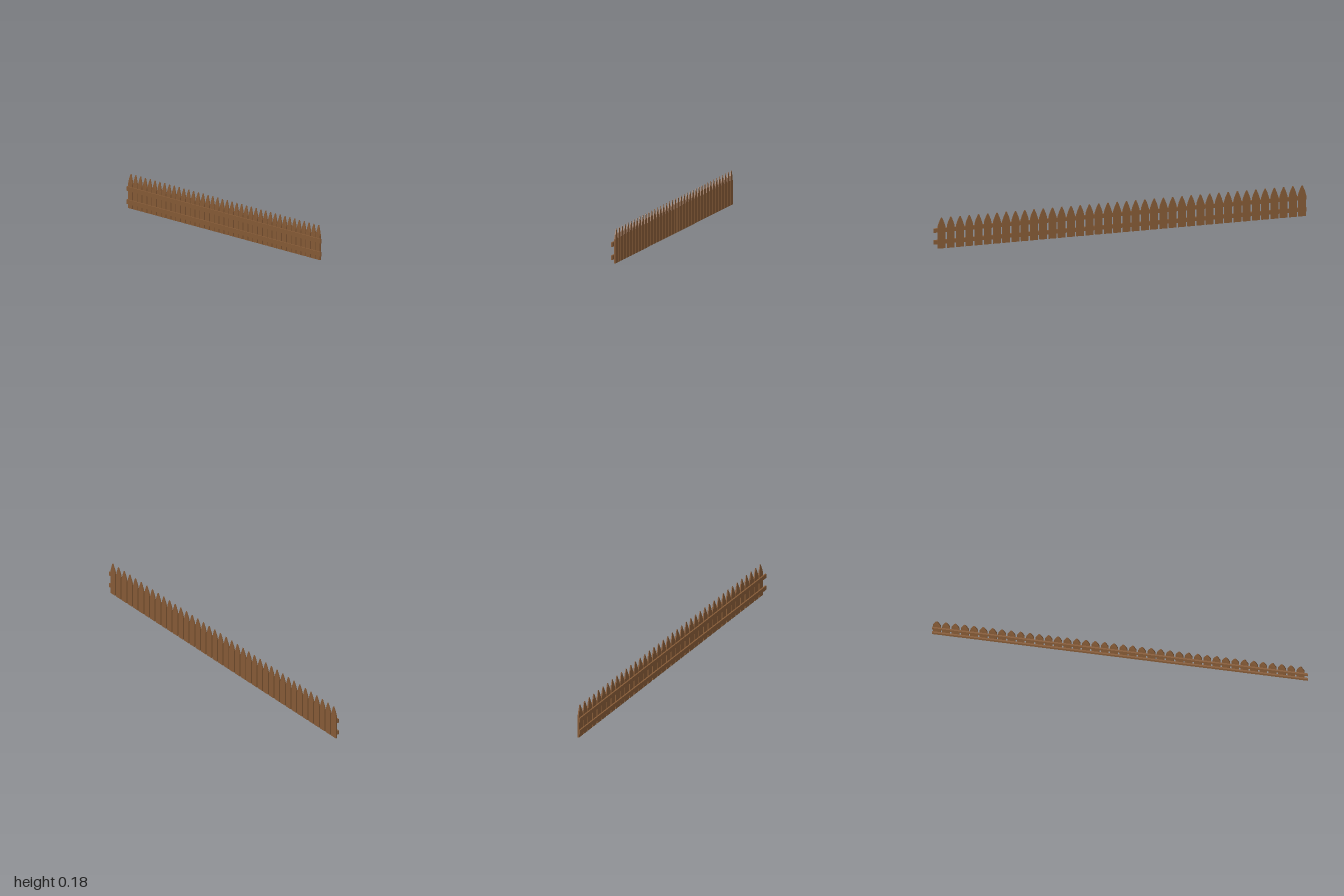
import * as THREE from 'three';

const PICKETS = 40, FIRST_Z = 0.959, LAST_Z = -0.975;
const WIDTH = 0.041, HEIGHT = 0.184, DEPTH = 0.008;

// Pointed board: outline in the z-y plane, thickness along +x, tip thinned from behind
function picketGeometry() {
  const h = WIDTH / 2;
  const right = [[h, 0], [h, 0.13], [h * 0.7, 0.153], [0.003, HEIGHT]];
  const left = right.map(([x, y]) => [-x, y]).reverse();
  const shape = new THREE.Shape([...right, ...left].map(([x, y]) => new THREE.Vector2(x, y)));
  const geo = new THREE.ExtrudeGeometry(shape, { depth: DEPTH, bevelEnabled: false });
  geo.rotateY(Math.PI / 2);
  const p = geo.attributes.position;
  for (let i = 0; i < p.count; i++) {
    const t = Math.max(0, (p.getY(i) - 0.14) / (HEIGHT - 0.14));
    if (p.getX(i) < DEPTH / 2) p.setX(i, t * 0.005);
  }
  geo.computeVertexNormals();
  return geo;
}

export function createModel() {
  const fence = new THREE.Group();
  fence.name = 'picketFence';
  const wood = new THREE.MeshStandardMaterial({ color: 0x855a36 });

  // Row of pickets
  const geo = picketGeometry();
  for (let i = 0; i < PICKETS; i++) {
    const picket = new THREE.Mesh(geo, wood);
    picket.name = `picket${i + 1}`;
    picket.position.z = THREE.MathUtils.lerp(FIRST_Z, LAST_Z, i / (PICKETS - 1));
    fence.add(picket);
  }

  // Two rails running behind the pickets
  for (const [name, y] of [['lowerRail', 0.0345], ['upperRail', 0.104]]) {
    const rail = new THREE.Mesh(new THREE.BoxGeometry(0.008, 0.023, 2), wood);
    rail.name = name;
    rail.position.set(-0.004, y, 0);
    fence.add(rail);
  }
  return fence;
}
